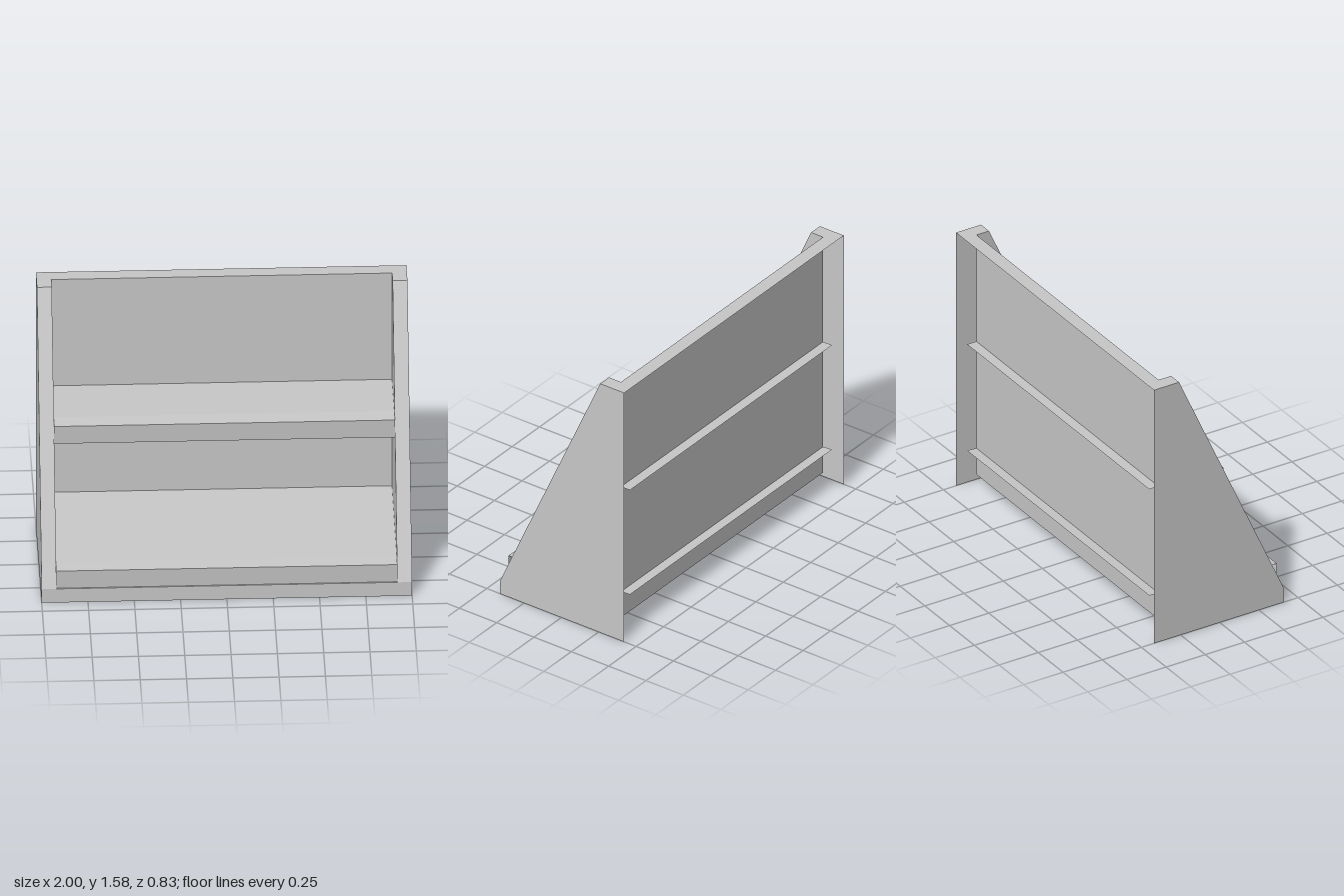
import * as THREE from 'three';

const W = 1;        // outer half width
const IN = 0.92;    // inner half width
const H = 1.58;     // height
const FLOOR = 0.085;
const FRONT = 0.41, BACK = -0.42, PANEL = -0.34, TOP_FRONT = -0.26;

// Sweeps a [z, y] profile between two x positions as flat faceted sheets.
function sheet(profile, x0, x1) {
  const pos = [];
  for (let i = 0; i < profile.length - 1; i++) {
    const [za, ya] = profile[i], [zb, yb] = profile[i + 1];
    const a = [x0, ya, za], b = [x1, ya, za], c = [x1, yb, zb], d = [x0, yb, zb];
    pos.push(...a, ...b, ...c, ...a, ...c, ...d);
  }
  const g = new THREE.BufferGeometry();
  g.setAttribute('position', new THREE.Float32BufferAttribute(pos, 3));
  g.computeVertexNormals();
  return g;
}

// Flat [z, y] outline standing at x, facing along dir (+1 or -1).
function wall(outline, x, dir) {
  const shape = new THREE.Shape(outline.map(([z, y]) => new THREE.Vector2(-dir * z, y)));
  return new THREE.ShapeGeometry(shape).rotateY(dir * Math.PI / 2).translate(x, 0, 0);
}

export function createModel() {
  const grey = new THREE.MeshStandardMaterial({ color: 0xc8c8c8, side: THREE.DoubleSide });
  grey.name = 'paintedGrey';
  const model = new THREE.Group();
  model.name = 'displayShelf';

  const add = (name, geometry, parent = model) => {
    const mesh = new THREE.Mesh(geometry, grey);
    mesh.name = name;
    parent.add(mesh);
  };

  // Hollow side walls: outer skin, inner skin and sloping rim
  const outer = [[BACK, 0], [FRONT, 0], [FRONT, FLOOR], [TOP_FRONT, H], [BACK, H]];
  const inner = [[PANEL, FLOOR], [FRONT, FLOOR], [TOP_FRONT, H], [PANEL, H]];
  const rim = [[FRONT, FLOOR], [TOP_FRONT, H], [PANEL, H]];
  for (const s of [1, -1]) {
    const side = new THREE.Group();
    side.name = s > 0 ? 'leftSide' : 'rightSide';
    add('outerWall', wall(outer, s * W, s), side);
    add('innerWall', wall(inner, s * IN, -s), side);
    add('slopingRim', sheet(rim, s > 0 ? IN : -W, s > 0 ? W : -IN), side);
    model.add(side);
  }

  // Body sheets; the back and underside stay open
  add('frontPlinth', sheet([[FRONT, 0], [FRONT, FLOOR]], -W, W));
  add('floor', sheet([[FRONT, FLOOR], [PANEL, FLOOR]], -IN, IN));
  add('backPanel', sheet([[PANEL, FLOOR], [PANEL, H]], -IN, IN));
  add('topRim', sheet([[PANEL, H], [BACK, H]], -W, W));

  // Shelves with a front lip, running slightly through the back panel
  add('lowerShelf', sheet([[0.408, 0.088], [0.415, 0.199], [0.335, 0.207], [-0.4, 0.253]], -IN, IN));
  add('upperShelf', sheet([[0.068, 0.792], [0.075, 0.904], [-0.01, 0.912], [-0.4, 0.916]], -IN, IN));

  return model;
}
